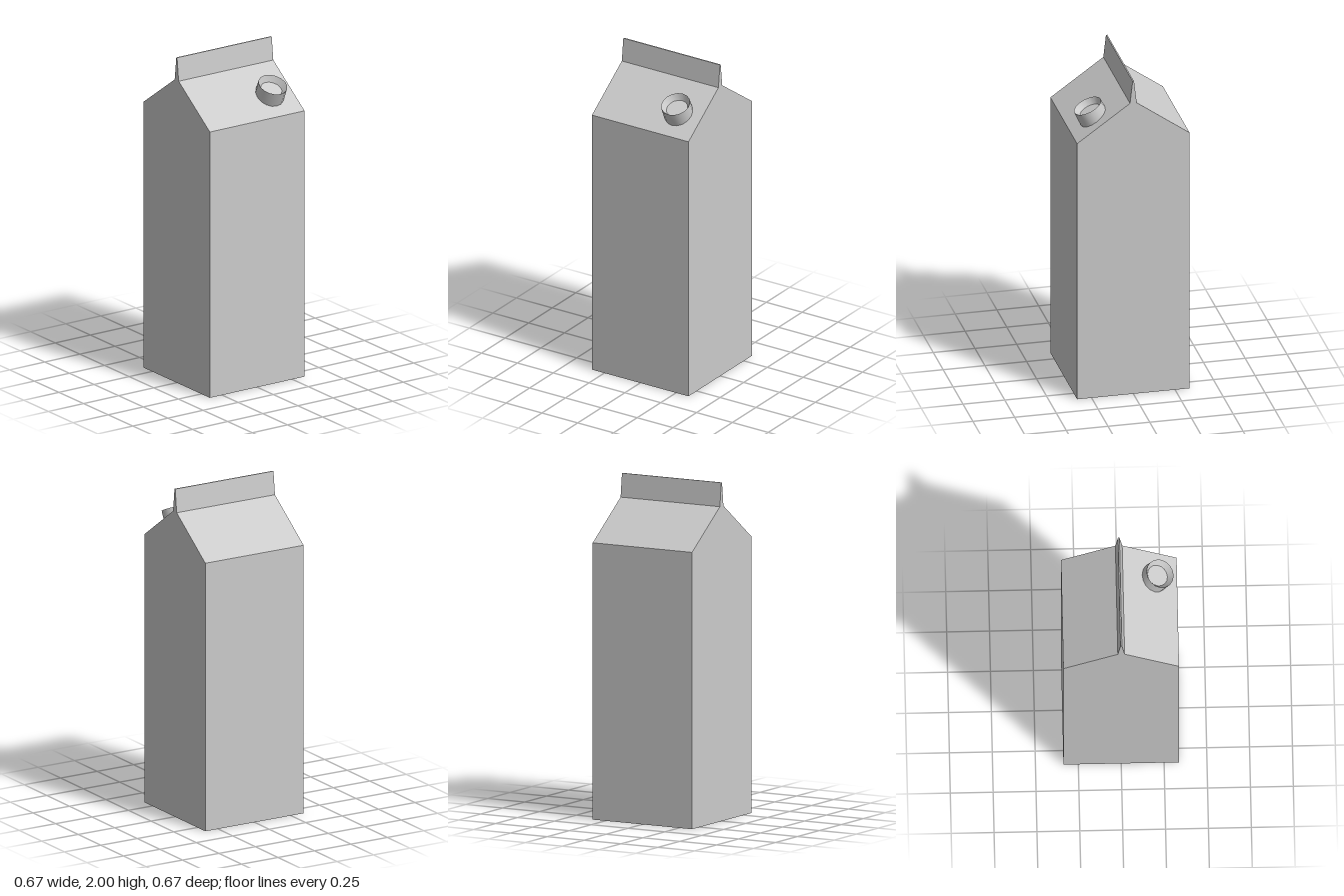
import * as THREE from 'three';
import { toCreasedNormals } from 'three/addons/utils/BufferGeometryUtils.js';

const HALF = 0.337; // half width and half depth of the carton

export function createModel() {
  const model = new THREE.Group();
  model.name = 'carton';
  const material = new THREE.MeshStandardMaterial({ color: 0xcccccc });

  // Carton: gabled outline with a thin sealed fin, extruded front to back
  const side = [[HALF, 0], [HALF, 1.635], [0.02, 1.86], [0.004, 2]];
  const mirrored = side.map(([x, y]) => [-x, y]).reverse();
  const outline = new THREE.Shape(
    [...side, ...mirrored].map(([x, y]) => new THREE.Vector2(x, y))
  );
  const bodyGeometry = new THREE.ExtrudeGeometry(outline, { depth: 2 * HALF, bevelEnabled: false });
  bodyGeometry.translate(0, 0, -HALF);
  const body = new THREE.Mesh(bodyGeometry, material);
  body.name = 'cartonBody';
  model.add(body);

  // Spout: short ring with a sharp rim and a tapered, recessed floor
  const profile = [[0.087, -0.107], [0.087, 0], [0.064, -0.037], [0, -0.037]];
  const spoutGeometry = toCreasedNormals(
    new THREE.LatheGeometry(profile.map(([r, y]) => new THREE.Vector2(r, y)), 16),
    Math.PI / 6
  );
  const spout = new THREE.Mesh(spoutGeometry, material);
  spout.name = 'spout';
  spout.position.set(0.238, 1.799, -0.181);
  spout.rotation.z = -0.438;
  model.add(spout);

  return model;
}
